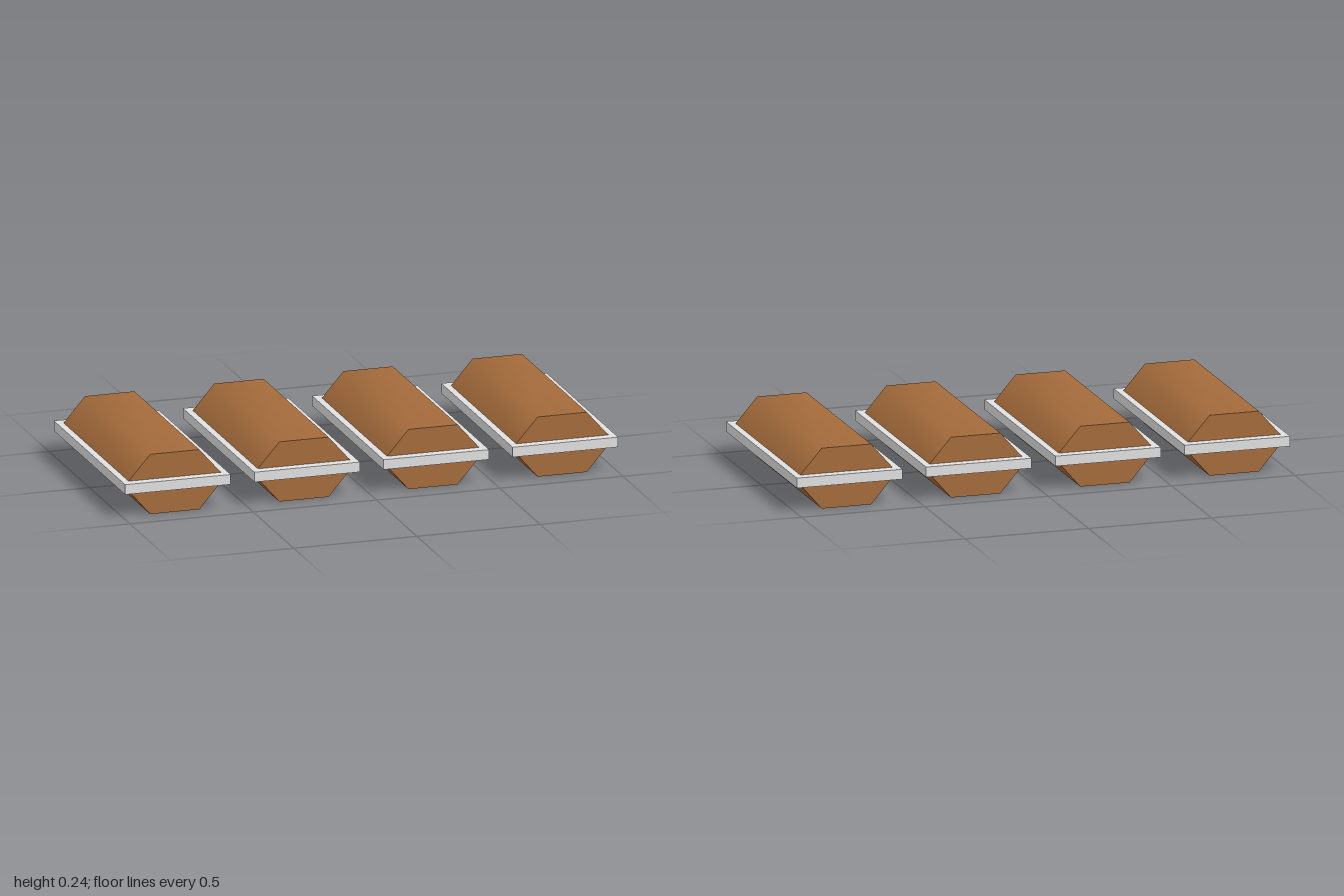
import * as THREE from 'three';

const HALF_LENGTH = 0.402;
const WIDE = 0.187;     // half width beside the rim
const NARROW = 0.1;     // half width at the flat top / open base
const RIM_LOW = 0.101, RIM_HIGH = 0.141, TOP = 0.241;

// Strip of quads sweeping a profile of [x, y] points along z, smooth or faceted
function sweep(profile, smooth) {
  const pos = [], index = [];
  profile.forEach(([x, y], i) => {
    pos.push(x, y, HALF_LENGTH, x, y, -HALF_LENGTH);
    if (i) {
      const a = 2 * i - 2;
      index.push(a, a + 2, a + 1, a + 1, a + 2, a + 3);
    }
  });
  let geo = new THREE.BufferGeometry();
  geo.setAttribute('position', new THREE.Float32BufferAttribute(pos, 3));
  geo.setIndex(index);
  if (!smooth) geo = geo.toNonIndexed();
  geo.computeVertexNormals();
  return geo;
}

// Flat panel closing both ends of a half
function addEnds(group, profile, material, name) {
  const shape = new THREE.Shape(profile.map(([x, y]) => new THREE.Vector2(x, y)));
  for (const side of [1, -1]) {
    const end = new THREE.Mesh(new THREE.ShapeGeometry(shape), material);
    end.position.z = side * HALF_LENGTH;
    if (side < 0) end.rotation.y = Math.PI;
    end.name = name;
    group.add(end);
  }
}

// Shallow rim: a top sheet with four sides, open underneath
function rimGeometry() {
  const geo = new THREE.BoxGeometry(0.428, RIM_HIGH - RIM_LOW, 0.883);
  const faces = Array.from(geo.index.array);
  faces.splice(18, 6); // bottom face
  geo.setIndex(faces);
  geo.clearGroups();
  return geo;
}

export function createModel() {
  const brown = new THREE.MeshStandardMaterial({ color: 0xa46b3b, side: THREE.DoubleSide });
  brown.name = 'brown';
  const grey = new THREE.MeshStandardMaterial({ color: 0xe0e0e0, side: THREE.DoubleSide });
  grey.name = 'light grey';

  const upper = [[WIDE, RIM_HIGH], [NARROW, TOP], [-NARROW, TOP], [-WIDE, RIM_HIGH]];
  const lower = [[-WIDE, RIM_HIGH], [-WIDE, RIM_LOW], [-NARROW, 0],
    [NARROW, 0], [WIDE, RIM_LOW], [WIDE, RIM_HIGH]];

  const model = new THREE.Group();
  model.name = 'rowOfBars';
  for (let i = 0; i < 4; i++) {
    const bar = new THREE.Group();
    bar.name = 'bar';
    bar.position.x = -0.786 + i * 0.524;

    // Closed upper half, softly shaded across the top
    const top = new THREE.Mesh(sweep(upper, true), brown);
    top.name = 'upperShell';
    bar.add(top);
    addEnds(bar, upper, brown, 'upperEnd');

    // Lower half: two walls rising inside the rim, open underneath
    for (const wall of [lower.slice(0, 3), lower.slice(3)]) {
      const mesh = new THREE.Mesh(sweep(wall, false), brown);
      mesh.name = 'lowerWall';
      bar.add(mesh);
    }
    addEnds(bar, lower, brown, 'lowerEnd');

    // Rim between the halves
    const rim = new THREE.Mesh(rimGeometry(), grey);
    rim.position.y = (RIM_LOW + RIM_HIGH) / 2;
    rim.name = 'rim';
    bar.add(rim);

    model.add(bar);
  }
  return model;
}
